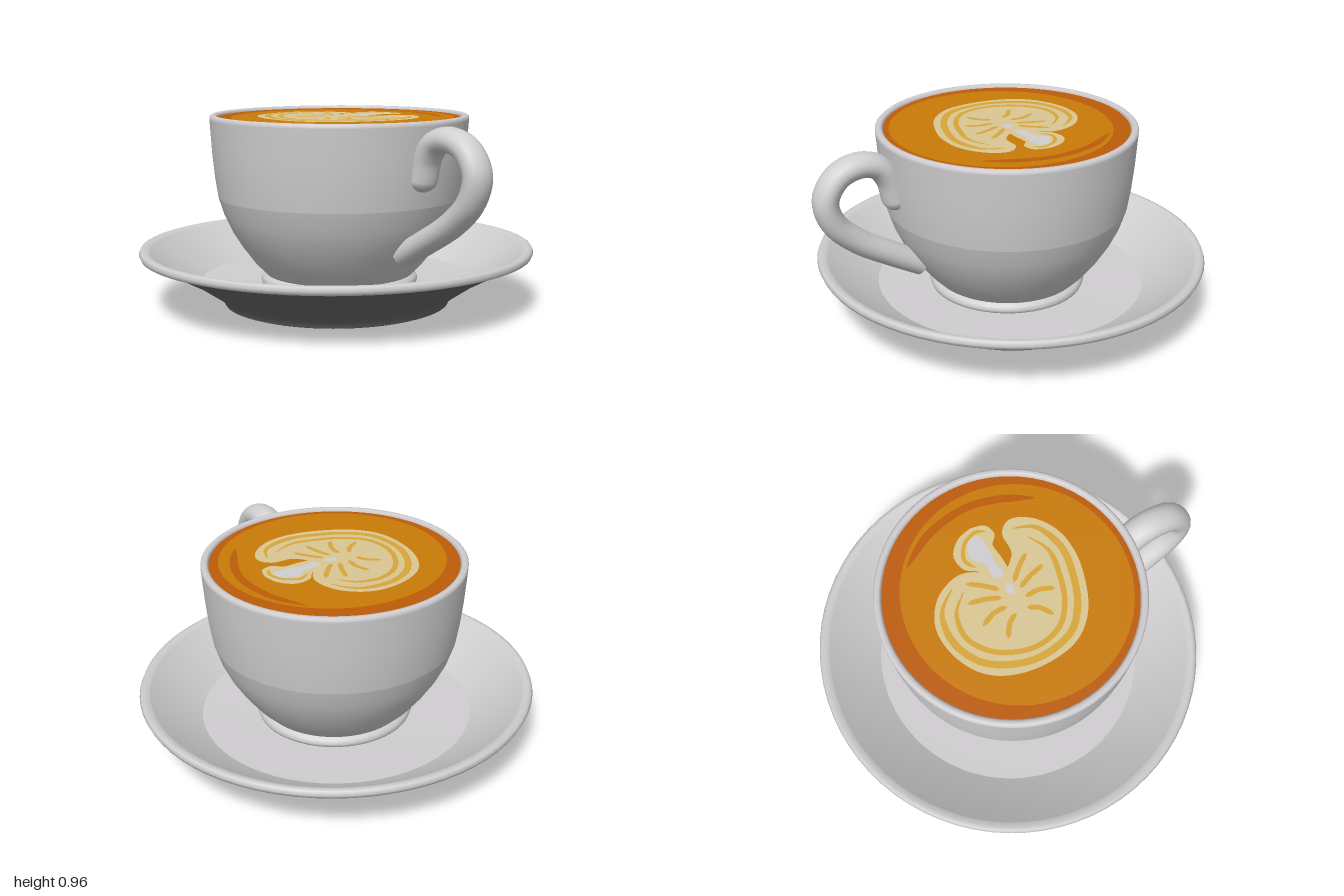
import * as THREE from 'three';

const mat = (name, color) => {
  const m = new THREE.MeshStandardMaterial({ color });
  m.name = name;
  return m;
};

export function createModel() {
  const china = mat('china', 0xd0ced0);
  const shade = mat('darkGlaze', 0x6b6a6b);
  const coffee = mat('coffee', 0xc97b08);
  const crema = mat('darkCrema', 0xbd5c09);
  const milk = mat('milk', 0xdac794);
  const caramel = mat('caramel', 0xd8a63a);

  const model = new THREE.Group();
  const add = (parent, name, geometry, material) => {
    const mesh = new THREE.Mesh(geometry, material);
    mesh.name = name;
    parent.add(mesh);
    return mesh;
  };
  const group = (name, x, scaleX) => {
    const g = new THREE.Group();
    g.name = name;
    g.position.x = x;
    g.scale.x = scaleX;
    model.add(g);
    return g;
  };
  // Each profile is smooth; separate profiles meet at a crease
  const lathe = (parent, name, points, material = china) =>
    add(parent, name, new THREE.LatheGeometry(points.map(p => new THREE.Vector2(...p)), 72), material);

  // Saucer, with a dark glazed underside
  const saucer = group('saucer', -0.03, 0.975);
  lathe(saucer, 'saucerBase', [[0, 0.012], [0.51, 0.012], [0.53, 0.002], [0.55, 0], [0.572, 0.008]], shade);
  lathe(saucer, 'saucerUnderside', [[0.572, 0.008], [0.585, 0.035], [0.62, 0.064], [0.74, 0.145], [0.86, 0.21], [0.965, 0.255]], shade);
  lathe(saucer, 'saucerRim', [[0.965, 0.255], [0.988, 0.262], [0.996, 0.28], [0.988, 0.298], [0.97, 0.302], [0.945, 0.29]]);
  lathe(saucer, 'saucerSlope', [[0.945, 0.29], [0.82, 0.2], [0.69, 0.124]]);
  lathe(saucer, 'saucerFloor', [[0.69, 0.124], [0.4, 0.115], [0, 0.115]]);

  // Cup
  const cup = group('cup', -0.01, 0.985);
  lathe(cup, 'cupFoot', [[0.37, 0.105], [0.392, 0.113], [0.398, 0.13], [0.39, 0.148], [0.372, 0.16]]);
  lathe(cup, 'cupBowl', [[0.372, 0.16], [0.43, 0.22], [0.49, 0.3], [0.54, 0.38], [0.578, 0.46], [0.607, 0.55]]);
  lathe(cup, 'cupWall', [[0.607, 0.55], [0.622, 0.65], [0.634, 0.77], [0.645, 0.935]]);
  lathe(cup, 'cupRim', [[0.645, 0.935], [0.645, 0.947], [0.636, 0.956], [0.618, 0.955], [0.607, 0.945], [0.603, 0.9]]);

  // Handle, an oval tube with a rounded upper end
  const handle = new THREE.Group();
  handle.name = 'handle';
  handle.scale.z = 1.25;
  model.add(handle);
  const path = new THREE.CatmullRomCurve3([
    [0.6, 0.69], [0.625, 0.79], [0.68, 0.86], [0.77, 0.882], [0.875, 0.845], [0.938, 0.74],
    [0.905, 0.62], [0.79, 0.505], [0.63, 0.405], [0.48, 0.32],
  ].map(p => new THREE.Vector3(p[0], p[1], 0)));
  add(handle, 'handleLoop', new THREE.TubeGeometry(path, 60, 0.06, 18), china);
  add(handle, 'handleTip', new THREE.SphereGeometry(0.06, 18, 12), china).position.set(0.6, 0.69, 0);

  // Drink: flat layers, drawn as [x, z] points
  const drink = group('drink', 0, 1);
  const layer = (name, shape, material, level) => {
    const g = new THREE.ShapeGeometry(shape, 48);
    g.rotateX(-Math.PI / 2);
    add(drink, name, g, material).position.y = 0.942 + level * 0.0005;
  };
  const vec = pts => pts.map(([x, z]) => new THREE.Vector2(x, -z));
  const disc = (name, x, z, rx, rz, material, level) =>
    layer(name, new THREE.Shape().absellipse(x, -z, rx, rz, 0, Math.PI * 2), material, level);
  const blob = (name, pts, material, level) => {
    const v = vec(pts);
    layer(name, new THREE.Shape(new THREE.SplineCurve([...v, v[0]]).getPoints(80)), material, level);
  };
  // Tapered brush stroke along a spline
  const stroke = (name, pts, width, material, level) => {
    const curve = new THREE.SplineCurve(vec(pts));
    const left = [], right = [];
    const n = 40;
    for (let i = 0; i <= n; i++) {
      const t = i / n;
      const p = curve.getPoint(t), d = curve.getTangent(t);
      const w = width / 2 * (0.15 + 0.85 * Math.min(1, 6 * t, 6 * (1 - t)));
      left.push(new THREE.Vector2(p.x - d.y * w, p.y + d.x * w));
      right.unshift(new THREE.Vector2(p.x + d.y * w, p.y - d.x * w));
    }
    layer(name, new THREE.Shape([...left, ...right]), material, level);
  };

  disc('cremaRing', -0.01, 0, 0.598, 0.607, crema, 0);
  disc('coffeeSurface', 0.02, 0.005, 0.54, 0.555, coffee, 1);
  stroke('cremaStreak', [[-0.37, -0.35], [-0.2, -0.45], [0, -0.485], [0.17, -0.45], [0.33, -0.37]], 0.04, crema, 2);

  // Poured milk pattern
  blob('milkHeart', [
    [-0.01, -0.08], [-0.1, -0.17], [-0.2, -0.195], [-0.32, -0.14], [-0.395, -0.02], [-0.39, 0.13],
    [-0.32, 0.27], [-0.2, 0.35], [-0.04, 0.38], [0.13, 0.355], [0.25, 0.26], [0.32, 0.12],
    [0.355, -0.03], [0.34, -0.17], [0.27, -0.28], [0.17, -0.33], [0.1, -0.28], [0.09, -0.17],
  ], milk, 2);
  blob('milkHead', [
    [-0.02, -0.38], [-0.1, -0.355], [-0.155, -0.29], [-0.145, -0.21], [-0.09, -0.165], [-0.04, -0.07],
    [0.03, -0.07], [0.04, -0.17], [0.035, -0.25], [0.07, -0.3], [0.05, -0.36],
  ], milk, 3);
  stroke('outerRipple', [
    [-0.24, -0.15], [-0.34, -0.06], [-0.355, 0.1], [-0.27, 0.25], [-0.08, 0.335], [0.12, 0.31],
    [0.23, 0.2], [0.29, 0.05], [0.31, -0.09], [0.26, -0.23], [0.16, -0.28],
  ], 0.034, caramel, 4);
  stroke('innerRipple', [
    [-0.2, -0.11], [-0.28, -0.03], [-0.295, 0.1], [-0.21, 0.22], [-0.05, 0.285], [0.1, 0.255],
    [0.19, 0.15], [0.235, 0.02], [0.25, -0.1], [0.2, -0.21],
  ], 0.026, caramel, 4);

  // Mirrored fern strokes
  for (const s of [-1, 1]) {
    [
      [[0.04, -0.04], [0.09, -0.09], [0.16, -0.14]],
      [[0.05, 0], [0.12, -0.03], [0.2, -0.05]],
      [[0.05, 0.05], [0.12, 0.05], [0.19, 0.08]],
      [[0.03, 0.1], [0.08, 0.13], [0.12, 0.19]],
    ].forEach((pts, i) =>
      stroke('fernStroke' + (i + 1), pts.map(([x, z]) => [s * x - 0.01, z]), 0.024, caramel, 4));
  }
  stroke('headRipple', [[-0.09, -0.19], [-0.12, -0.25], [-0.08, -0.32], [-0.01, -0.35], [0.04, -0.33]], 0.018, caramel, 4);
  stroke('neckGap', [[0.05, -0.27], [0.055, -0.21], [0.075, -0.16]], 0.035, coffee, 4);
  blob('foamSpot', [[-0.07, -0.32], [-0.01, -0.33], [0.01, -0.26], [0, -0.18], [0.01, -0.1], [-0.04, -0.1], [-0.05, -0.19], [-0.09, -0.24]], china, 4);
  disc('foamDot', -0.005, -0.02, 0.02, 0.03, china, 4);

  return model;
}
